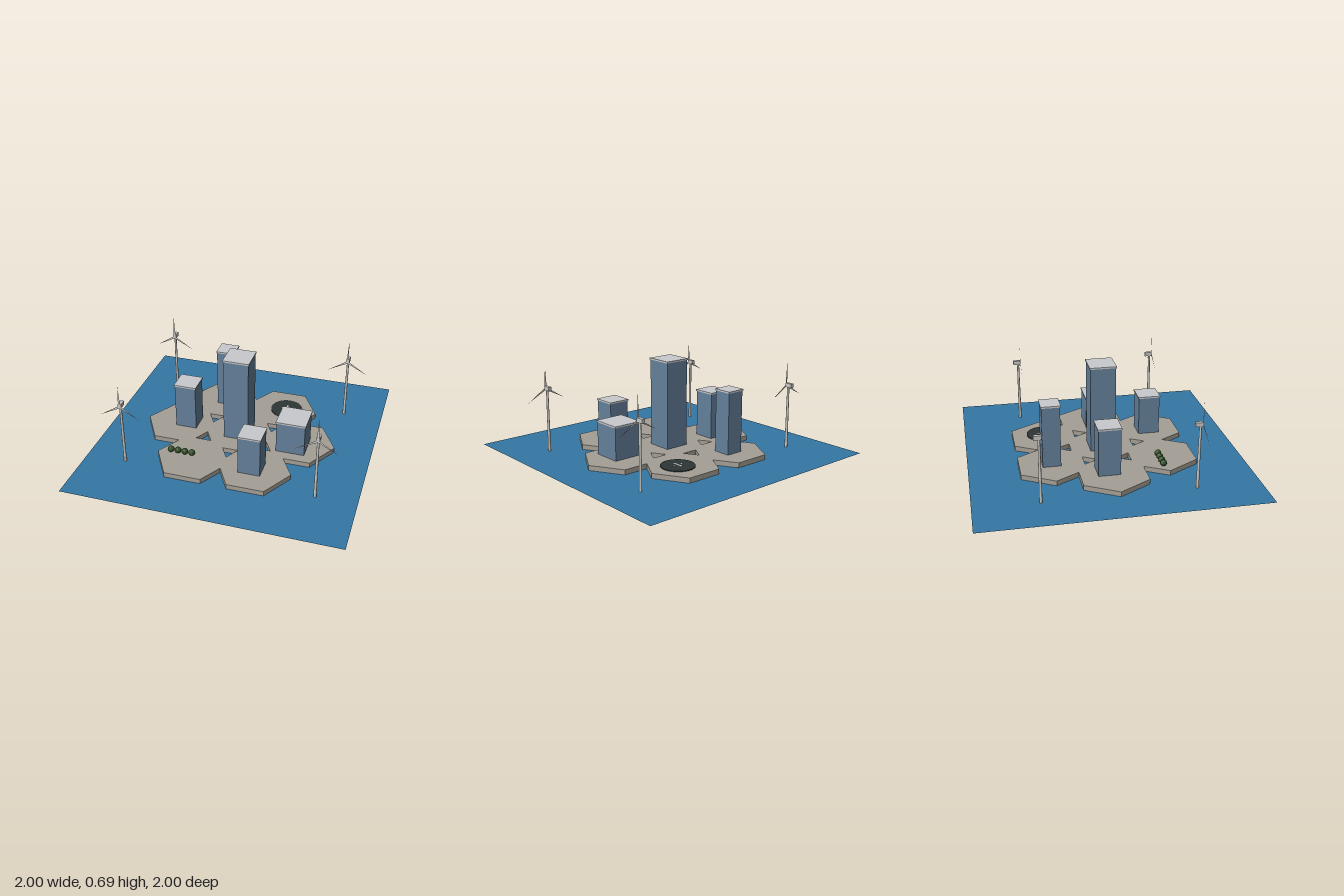
import * as THREE from 'three';

const mat = (name, color, extra = {}) => {
  const m = new THREE.MeshStandardMaterial({ color, ...extra });
  m.name = name;
  return m;
};

export function createModel() {
  const model = new THREE.Group();
  model.name = 'floatingCity';

  const water = mat('water', 0x3577a4, { side: THREE.DoubleSide });
  const concrete = mat('concrete', 0xa5a096, { flatShading: true });
  const glass = mat('glass', 0x64809a);
  const roofing = mat('roofing', 0xc8cacd);
  const asphalt = mat('asphalt', 0x2d3535);
  const paint = mat('paint', 0xd6dad6);
  const leaves = mat('leaves', 0x35552a, { flatShading: true });
  const metal = mat('metal', 0xc9c8c4);
  const bladeMetal = mat('bladeMetal', 0xcccbc8, { side: THREE.DoubleSide });

  const add = (parent, name, geometry, material, x = 0, y = 0, z = 0) => {
    const mesh = new THREE.Mesh(geometry, material);
    mesh.name = name;
    mesh.position.set(x, y, z);
    parent.add(mesh);
    return mesh;
  };
  const box = (w, h, d) => new THREE.BoxGeometry(w, h, d);

  // Sea surface
  add(model, 'sea', new THREE.PlaneGeometry(2, 2).rotateX(-Math.PI / 2), water);

  // Seven overlapping hexagonal platforms; the sea closes them underneath
  const deck = 0.037;
  const hex = new THREE.CylinderGeometry(0.27, 0.27, deck, 6, 1, true, Math.PI / 2);
  const hexTop = new THREE.CircleGeometry(0.27, 6).rotateX(-Math.PI / 2);
  for (const [x, z] of [[0, 0], [-0.46, 0], [0.46, 0],
    [-0.23, -0.405], [0.23, -0.405], [-0.23, 0.405], [0.23, 0.405]]) {
    const platform = new THREE.Group();
    platform.name = 'platform';
    platform.position.set(x, 0, z);
    add(platform, 'platformSide', hex, concrete, 0, deck / 2, 0);
    add(platform, 'platformTop', hexTop, concrete, 0, deck, 0);
    model.add(platform);
  }

  // Towers with slightly overhanging roof slabs: x, z, width, total height
  const slab = 0.012;
  for (const [x, z, w, top] of [
    [0, 0, 0.187, 0.693],
    [-0.41, -0.03, 0.16, 0.395],
    [-0.218, -0.408, 0.132, 0.505],
    [0.214, 0.403, 0.16, 0.342],
    [0.43, 0.05, 0.212, 0.29],
  ]) {
    const building = new THREE.Group();
    building.name = 'building';
    building.position.set(x, 0, z);
    const h = top - slab - deck;
    add(building, 'buildingBody', box(w, h, w), glass, 0, deck + h / 2, 0);
    add(building, 'buildingRoof', box(w + 0.01, slab, w + 0.01), roofing, 0, top - slab / 2, 0);
    model.add(building);
  }

  // Landing pad with painted marks
  const pad = new THREE.Group();
  pad.name = 'landingPad';
  pad.position.set(0.268, deck, -0.408);
  add(pad, 'padDisc', new THREE.CylinderGeometry(0.123, 0.123, 0.006, 32), asphalt, 0, 0.003, 0);
  add(pad, 'padBar', box(0.014, 0.003, 0.086), paint, 0, 0.0075, 0);
  for (const s of [-1, 1]) add(pad, 'padDot', box(0.012, 0.003, 0.016), paint, s * 0.034, 0.0075, 0);
  model.add(pad);

  // Row of round bushes
  const bush = new THREE.IcosahedronGeometry(0.025, 1);
  for (let i = 0; i < 4; i++) add(model, 'bush', bush, leaves, -0.408 + i * 0.0535, 0.055, 0.378);

  // Wind turbines at the four corners
  const mast = new THREE.CylinderGeometry(0.0085, 0.011, 0.467, 10);
  const bladeShape = new THREE.Shape([
    new THREE.Vector2(-0.009, 0), new THREE.Vector2(0.009, 0), new THREE.Vector2(0, 0.172),
  ]);
  const blade = new THREE.ShapeGeometry(bladeShape);
  for (const x of [-0.703, 0.703]) for (const z of [-0.54, 0.54]) {
    const turbine = new THREE.Group();
    turbine.name = 'windTurbine';
    turbine.position.set(x, 0, z);
    add(turbine, 'mast', mast, metal, 0, 0.2335, 0);
    add(turbine, 'nacelle', box(0.025, 0.03, 0.055), metal, 0, 0.479, -0.01);
    for (let i = 0; i < 3; i++) {
      add(turbine, 'blade', blade, bladeMetal, 0, 0.473, 0.019).rotation.z = i * Math.PI * 2 / 3;
    }
    model.add(turbine);
  }

  return model;
}
